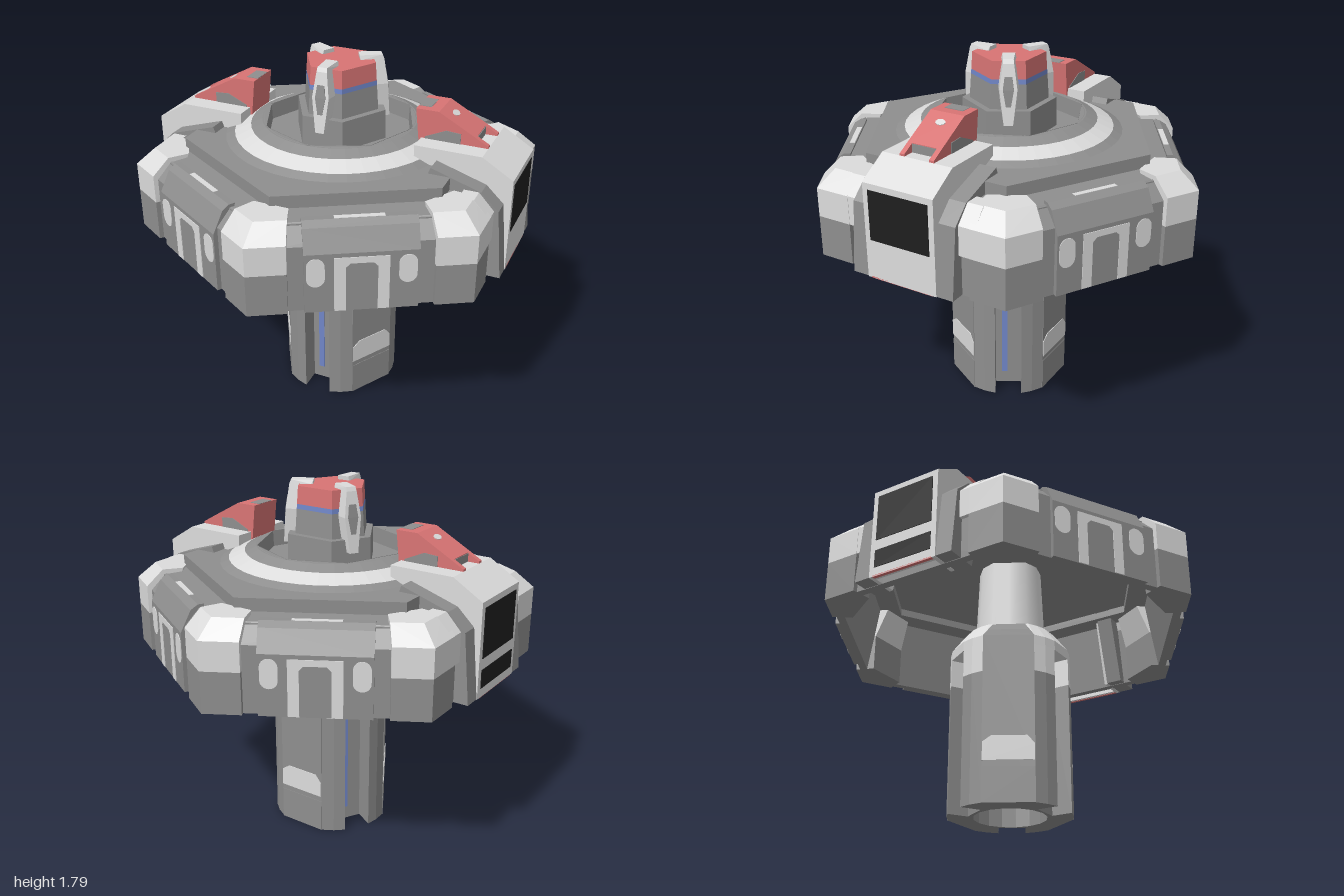
import * as THREE from 'three';
import { ConvexGeometry } from 'three/addons/geometries/ConvexGeometry.js';

const mat = (name, color) => new THREE.MeshStandardMaterial({ name, color, side: THREE.DoubleSide });
const light = mat('lightGrey', 0xdcdcdc), grey = mat('grey', 0x8e8e8e), red = mat('red', 0xd87474);
const blue = mat('blue', 0x7086c8), black = mat('black', 0x1f1f1f);

function add(parent, name, geometry, material) {
  const mesh = new THREE.Mesh(geometry, material);
  mesh.name = name;
  parent.add(mesh);
  return mesh;
}
function turned(parent, name, angle) {
  const g = new THREE.Group();
  g.name = name;
  g.rotation.y = angle;
  parent.add(g);
  return g;
}
const hull = pts => new ConvexGeometry(pts.map(p => new THREE.Vector3(...p)));
const box = (w, h, d, x, y, z) => new THREE.BoxGeometry(w, h, d).translate(x, y, z);
const shapeOf = pts => new THREE.Shape(pts.map(p => new THREE.Vector2(...p)));
// extrude an [x, y] outline between two z values
const slab = (shape, z0, z1) => new THREE.ExtrudeGeometry(shape, { depth: z1 - z0, bevelEnabled: false, curveSegments: 8 }).translate(0, 0, z0);
// extrude an [x, z] outline between two heights
function prism(plan, y0, y1, hole) {
  const s = shapeOf(plan.map(([x, z]) => [x, -z]));
  if (hole) s.holes.push(new THREE.Path().absarc(0, 0, hole, 0, Math.PI * 2, true));
  return new THREE.ExtrudeGeometry(s, { depth: y1 - y0, bevelEnabled: false, curveSegments: 8 }).rotateX(-Math.PI / 2).translate(0, y0, 0);
}
// convex solid through plan outlines stacked at [height, plan]
const stack = levels => hull(levels.flatMap(([y, plan]) => plan.map(([x, z]) => [x, y, z])));
const mirrorX = half => half.flatMap(([x, z]) => x ? [[x, z], [-x, z]] : [[x, z]]);
const scaled = (plan, k) => plan.map(([x, z]) => [x * k, z * k]);
const polar = (deg, r) => [Math.sin(deg * Math.PI / 180) * r, Math.cos(deg * Math.PI / 180) * r];
const lathe = (pts, n) => {
  const g = new THREE.LatheGeometry(pts.map(p => new THREE.Vector2(...p)), n).toNonIndexed();
  g.computeVertexNormals();
  return g;
};

function buildColumn(root) {
  const column = turned(root, 'column', 0);
  // round plan with three deep grooves and three flats
  const plan = [], outline = [];
  for (const a of [0, 120, 240]) {
    plan.push(polar(a - 36, 0.305), polar(a - 24, 0.306), polar(a - 13, 0.306), polar(a - 20, 0.2),
      polar(a + 20, 0.2), polar(a + 13, 0.306), polar(a + 24, 0.306), polar(a + 36, 0.305));
    for (const d of [-36, -24, -12, 12, 24, 36]) outline.push(polar(a + d, 0.305));
  }
  add(column, 'lowerColumn', prism(plan, 0, 0.65, 0.18), grey);
  add(column, 'upperColumn', prism(plan, 0.65, 0.79), light);
  add(column, 'columnCollar', stack([[0.79, outline], [0.84, outline], [0.93, scaled(outline, 0.78)]]), light);
  add(column, 'neck', new THREE.CylinderGeometry(0.16, 0.18, 0.5, 12).translate(0, 1.15, 0), light);
  for (let i = 0; i < 3; i++) {
    const groove = turned(column, 'groove', i * Math.PI * 2 / 3);
    add(groove, 'grooveFloor', box(0.134, 0.79, 0.006, 0, 0.395, 0.19), grey);
    add(groove, 'grooveStrip', box(0.03, 0.7, 0.006, -0.02, 0.42, 0.195), blue);
    const side = turned(column, 'columnPanel', Math.PI / 3 + i * Math.PI * 2 / 3);
    add(side, 'panelFoot', box(0.25, 0.17, 0.04, 0, 0.085, 0.261), grey);
    add(side, 'panelSlab', hull([-1, 1].flatMap(s => [[s * 0.125, 0.2, 0.22], [s * 0.125, 0.2, 0.281], [s * 0.125, 0.84, 0.281],
      [s * 0.1, 0.87, 0.281], [s * 0.08, 0.932, 0.215], [s * 0.125, 0.84, 0.22]])), grey);
    const patch = shapeOf([[-0.123, 0.2], [0.123, 0.2], [0.123, 0.28], [0.09, 0.32], [-0.08, 0.32], [-0.123, 0.29]]);
    add(side, 'panelPatch', slab(patch, 0.28, 0.284), light);
  }
}

function buildRing(root) {
  const ring = turned(root, 'ring', 0);
  const foot = mirrorX([[0, 1], [0.155, 0.911], [0.115, 0.82]]);
  const cap = mirrorX([[0, 0.905], [0.125, 0.835], [0.085, 0.74]]);
  const pill = u => {
    const s = new THREE.Shape();
    s.absarc(u, 1.16, 0.04, 0, Math.PI);
    s.absarc(u, 1.1, 0.04, Math.PI, Math.PI * 2);
    return s;
  };
  const arch = shapeOf([[-0.12, 0.932], [-0.07, 0.932], [-0.07, 1.15], [-0.05, 1.17], [0.05, 1.17], [0.07, 1.15],
    [0.07, 0.932], [0.12, 0.932], [0.12, 1.2], [-0.12, 1.2]]);
  for (let i = 0; i < 6; i++) {
    const corner = turned(ring, 'cornerBlock', i * Math.PI / 3);
    add(corner, 'cornerFoot', stack([[0.93, foot], [1.13, foot]]), grey);
    add(corner, 'cornerCap', stack([[1.13, foot], [1.27, foot], [1.35, cap]]), light);

    const side = turned(ring, 'ringSide', Math.PI / 6 + i * Math.PI / 3);
    const flank = [-0.36, 0.36].flatMap(x => [[x, 0.93, 0.805], [x, 0.93, 0.845], [x, 1.25, 0.845], [x, 1.33, 0.77], [x, 1.3, 0.75]]);
    add(side, 'ringWall', hull(flank), grey);
    add(side, 'ringDeck', hull([[-0.38, 1.29, 0.64], [0.38, 1.29, 0.64], [-0.38, 1.335, 0.64], [0.38, 1.335, 0.64],
      [-0.4, 1.29, 0.78], [0.4, 1.29, 0.78], [-0.4, 1.325, 0.78], [0.4, 1.325, 0.78]]), grey);
    if (i % 3 === 1) {
      // straight sides beside the housings
      for (const s of [-1, 1]) add(side, 'sideCap', hull([0.25, 0.35].flatMap(u =>
        [[s * u, 1.13, 0.8], [s * u, 1.13, 0.865], [s * u, 1.27, 0.865], [s * u, 1.35, 0.79], [s * u, 1.35, 0.72]])), light);
      continue;
    }
    add(side, 'armourPanel', hull([-0.25, 0.25].flatMap(x =>
      [[x, 0.93, 0.82], [x, 0.93, 0.866], [x, 1.22, 0.866], [x, 1.32, 0.815], [x, 1.342, 0.78], [x, 1.342, 0.75]])), grey);
    add(side, 'archMark', slab(arch, 0.865, 0.869), light);
    for (const u of [-0.2, 0.2]) add(side, 'pillMark', slab(pill(u), 0.865, 0.869), light);
    add(side, 'topMark', box(0.22, 0.004, 0.025, 0, 1.342, 0.766), light);
  }
}

function buildDish(root) {
  const dish = turned(root, 'dish', 0);
  const hex = [0, 1, 2, 3, 4, 5].map(i => polar(i * 60, 0.755));
  add(dish, 'hexPlate', stack([[1.33, hex], [1.395, hex]]), grey);
  add(dish, 'outerSlope', lathe([[0.57, 1.39], [0.515, 1.415]], 40), grey);
  add(dish, 'lightBand', lathe([[0.515, 1.415], [0.435, 1.45]], 40), light);
  add(dish, 'innerSlope', lathe([[0.435, 1.45], [0.37, 1.477]], 40), grey);
  // octagonal well with upright walls
  add(dish, 'well', lathe([[0.376, 1.478], [0.372, 1.397]], 8), grey);
  const octagon = new THREE.Path([0, 1, 2, 3, 4, 5, 6, 7].map(i => new THREE.Vector2(...polar(i * 45, 0.376))));
  const rim = new THREE.Shape().absarc(0, 0, 0.38, 0, Math.PI * 2);
  rim.holes.push(octagon);
  add(dish, 'wellRim', new THREE.ShapeGeometry(rim, 20).rotateX(-Math.PI / 2).translate(0, 1.476, 0), grey);
}

function buildHead(root) {
  const head = turned(root, 'head', 0);
  const plan = [];
  for (const a of [60, 180, 300]) plan.push(polar(a - 33.7, 0.178), polar(a + 33.7, 0.178));
  const band = (name, y0, y1, m) =>
    add(head, name, stack([y0, y1].map(y => [y, scaled(plan, 1 + (1.77 - y) * 0.4)])), m);
  band('headCap', 1.683, 1.77, red);
  band('headStripe', 1.66, 1.683, blue);
  band('headBody', 1.53, 1.66, grey);
  add(head, 'headBase', stack([[1.39, scaled(plan, 1.32)], [1.54, scaled(plan, 1.3)]]), grey);
  for (let i = 0; i < 3; i++) {
    const fin = turned(head, 'fin', i * Math.PI * 2 / 3);
    add(fin, 'finBody', stack([[1.48, mirrorX([[0.022, 0.24], [0.03, 0.12]])], [1.65, mirrorX([[0.042, 0.226], [0.055, 0.11]])],
      [1.77, mirrorX([[0.026, 0.208], [0.036, 0.1]])], [1.79, mirrorX([[0.024, 0.2], [0.03, 0.09]])]]), light);
    const patch = [[1.57, 0.012, 0.2326], [1.65, 0.026, 0.226], [1.71, 0.018, 0.217]];
    add(fin, 'finPatch', hull(patch.flatMap(([y, x, z]) => [[x, y, z - 0.004], [-x, y, z - 0.004], [x, y, z + 0.003], [-x, y, z + 0.003]])), grey);
  }
}

function buildHousing(root, angle, extraVent) {
  const housing = turned(root, 'sideHousing', angle);
  // hollow box: bent outer shell closed by two cheeks
  add(housing, 'housingShell', slab(shapeOf([[0.92, 0.93], [0.92, 1.39], [0.77, 1.48], [0.45, 1.48], [0.45, 1.39],
    [0.76, 1.39], [0.89, 1.33], [0.89, 0.93]]), -0.185, 0.185), light);
  const cheek = shapeOf([[0.92, 0.93], [0.92, 1.39], [0.77, 1.48], [0.45, 1.48], [0.45, 1.39], [0.68, 1.34], [0.77, 0.93]]);
  const wing = shapeOf([[0.918, 0.932], [0.885, 1.27], [0.8, 1.35], [0.56, 1.425], [0.54, 1.37], [0.66, 1.32], [0.76, 0.932]]);
  for (const s of [-1, 1]) {
    add(housing, 'housingCheek', slab(cheek, s * 0.175 - 0.01, s * 0.175 + 0.01), light);
    add(housing, 'housingWing', slab(wing, s * 0.2275 - 0.0425, s * 0.2275 + 0.0425), grey);
  }
  add(housing, 'ventPanel', box(0.036, 0.24, 0.315, 0.905, 1.24, 0), black);
  if (extraVent) add(housing, 'lowerVent', box(0.036, 0.09, 0.315, 0.905, 1.02, 0), black);
  add(housing, 'bottomTrim', box(0.016, 0.008, 0.33, 0.912, 0.932, 0), red);

  // raised bracket with a forked tip
  const bracket = turned(housing, 'bracket', 0);
  add(bracket, 'bracketBody', slab(shapeOf([[0.42, 1.62], [0.53, 1.62], [0.71, 1.523], [0.71, 1.47], [0.44, 1.44]]), -0.09, 0.09), red);
  add(bracket, 'bracketEnd', box(0.005, 0.04, 0.13, 0.711, 1.5, 0), grey);
  add(bracket, 'bracketTopPatch', box(0.06, 0.004, 0.1, 0.451, 1.62, 0), grey);
  add(bracket, 'bracketDot', new THREE.CylinderGeometry(0.02, 0.02, 0.006, 10).scale(0.9, 1, 1.3).rotateZ(-0.494).translate(0.585, 1.591, 0), light);
  const tip = shapeOf([[0.71, 1.523], [0.77, 1.49], [0.77, 1.47], [0.71, 1.47]]);
  const patch = shapeOf([[0.46, 1.46], [0.64, 1.47], [0.64, 1.53], [0.57, 1.535], [0.47, 1.49]]);
  for (const s of [-1, 1]) {
    add(bracket, 'bracketProng', slab(tip, s * 0.0775 - 0.0125, s * 0.0775 + 0.0125), red);
    add(bracket, 'bracketSidePatch', slab(patch, s * 0.09 - 0.003, s * 0.09 + 0.003), grey);
  }
}

export function createModel() {
  const root = new THREE.Group();
  root.name = 'turretPlatform';
  buildColumn(root);
  buildRing(root);
  buildDish(root);
  buildHead(root);
  buildHousing(root, 0, false);
  buildHousing(root, Math.PI, true);
  return root;
}
